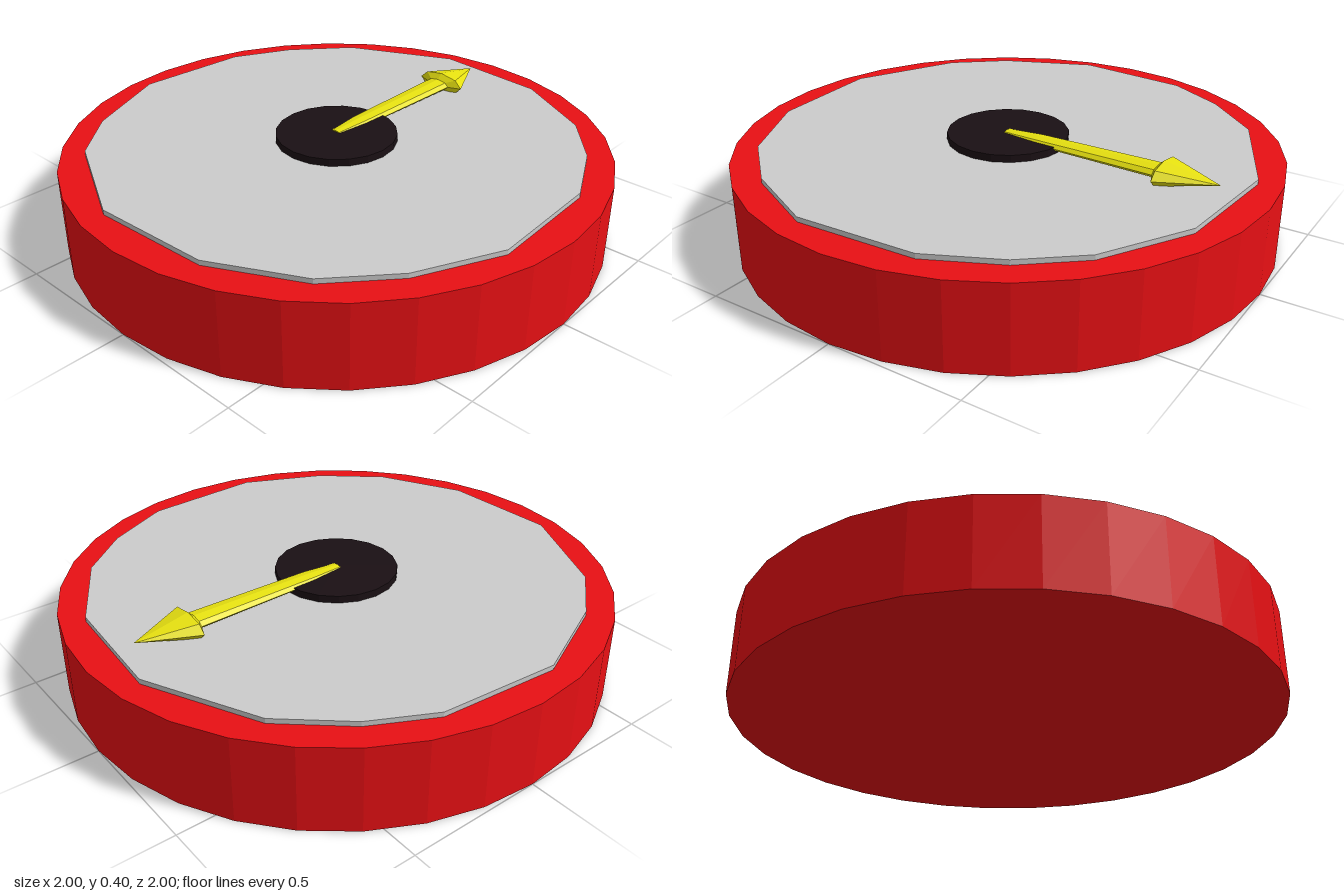
import * as THREE from 'three';

function part(name, geometry, color) {
  const mesh = new THREE.Mesh(geometry, new THREE.MeshStandardMaterial({ color, flatShading: true }));
  mesh.name = name;
  return mesh;
}

export function createModel() {
  const group = new THREE.Group();
  group.name = 'dial';

  // Round body
  const body = part('body', new THREE.CylinderGeometry(1, 1, 0.315, 32), 0xe81014);
  body.position.y = 0.1575;
  group.add(body);

  // Thin face plate with an uneven sixteen-sided outline (x, z)
  const outline = [
    [-0.16, -0.9], [0.28, -0.865], [0.5, -0.75], [0.71, -0.565],
    [0.9, -0.16], [0.865, 0.28], [0.69, 0.59], [0.5, 0.75],
    [0.25, 0.87], [-0.2, 0.89], [-0.5, 0.75], [-0.71, 0.565],
    [-0.87, 0.25], [-0.89, -0.2], [-0.69, -0.59], [-0.5, -0.75],
  ].map(([x, z]) => new THREE.Vector2(x, z));
  const plateGeo = new THREE.ExtrudeGeometry(new THREE.Shape(outline), { depth: 0.023, bevelEnabled: false });
  plateGeo.rotateX(Math.PI / 2);
  const plate = part('facePlate', plateGeo, 0xcccccc);
  plate.position.y = 0.333;
  group.add(plate);

  // Central hub
  const hub = part('hub', new THREE.CylinderGeometry(0.224, 0.224, 0.03, 20), 0x1a1014);
  hub.position.y = 0.345;
  group.add(hub);

  // Flattened arrow: [radius, distance from the hub centre]
  const profile = [
    [0, -0.005], [0.025, -0.005], [0.04, 0.13], [0.05, 0.605],
    [0.1, 0.625], [0, 0.83],
  ].map(([r, d]) => new THREE.Vector2(r, d));
  const arrowGeo = new THREE.LatheGeometry(profile, 8);
  arrowGeo.rotateZ(-Math.PI / 2);
  arrowGeo.scale(1, 0.4, 1);
  const arrow = part('arrowPointer', arrowGeo, 0xe6e010);
  arrow.position.y = 0.355;
  group.add(arrow);

  return group;
}
